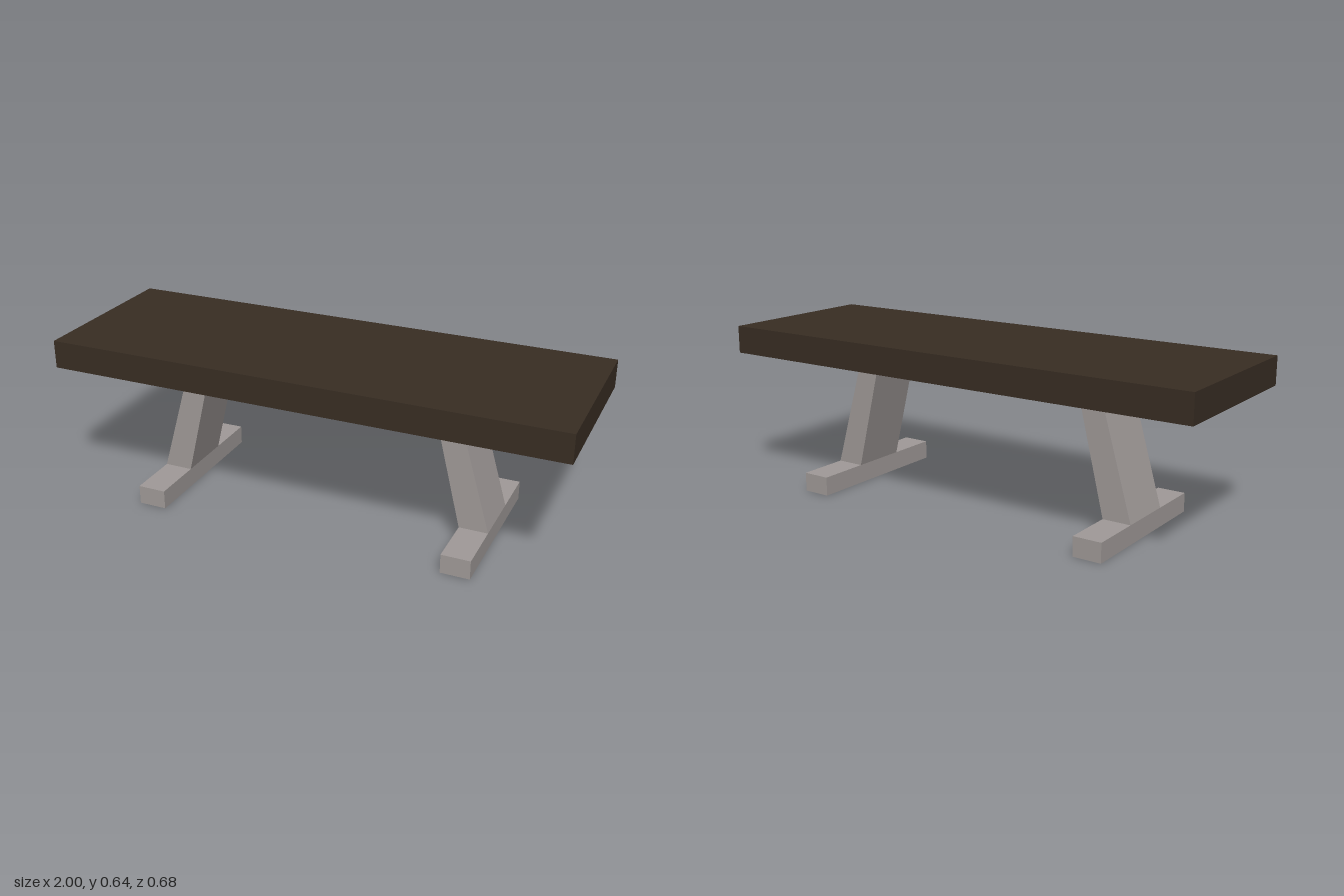
import * as THREE from 'three';

const SIDES = [0, 1, 4, 5]; // +x, -x, +z, -z faces of a box

// Box that keeps only the listed faces (open shell)
function shellBox(w, h, d, faces) {
  const geo = new THREE.BoxGeometry(w, h, d);
  const old = Array.from(geo.index.array);
  geo.setIndex(faces.flatMap((f) => old.slice(f * 6, f * 6 + 6)));
  geo.clearGroups();
  return geo;
}

export function createModel() {
  const darkWood = new THREE.MeshStandardMaterial({ color: 0x382d23 });
  const greyMetal = new THREE.MeshStandardMaterial({ color: 0xa09a98, side: THREE.DoubleSide });
  const model = new THREE.Group();
  model.name = 'bench';

  const add = (parent, name, geo, mat, x, y, z) => {
    const mesh = new THREE.Mesh(geo, mat);
    mesh.name = name;
    mesh.position.set(x, y, z);
    parent.add(mesh);
  };

  // Thick slab
  const bottom = 0.533, top = 0.642;
  add(model, 'seat', new THREE.BoxGeometry(2, top - bottom, 0.68), darkWood, 0, (bottom + top) / 2, 0);

  // Trestle dimensions
  const footX = 0.623, footW = 0.112, footH = 0.075, footZ = 0.32;
  const legTopX = 0.5, legTopW = 0.091, legZ = 0.114;

  for (const side of ['left', 'right']) {
    const trestle = new THREE.Group();
    trestle.name = side + 'Trestle';

    // Hollow foot, open underneath
    add(trestle, 'footRim', shellBox(footW, footH, footZ * 2, SIDES), greyMetal, footX, footH / 2, 0);
    const coverLength = footZ - legZ;
    for (const s of [1, -1]) {
      const cover = new THREE.PlaneGeometry(footW, coverLength).rotateX(-Math.PI / 2);
      add(trestle, 'footCover', cover, greyMetal, footX, footH, s * (legZ + coverLength / 2));
    }

    // Hollow leg, leaning inwards and tapering upwards
    const leg = shellBox(footW, bottom - footH, legZ * 2, SIDES);
    const pos = leg.attributes.position;
    for (let i = 0; i < pos.count; i++) {
      if (pos.getY(i) > 0) pos.setX(i, legTopX - footX + Math.sign(pos.getX(i)) * legTopW / 2);
    }
    leg.computeVertexNormals();
    add(trestle, 'leg', leg, greyMetal, footX, (bottom + footH) / 2, 0);

    if (side === 'right') trestle.rotation.y = Math.PI;
    model.add(trestle);
  }
  return model;
}
